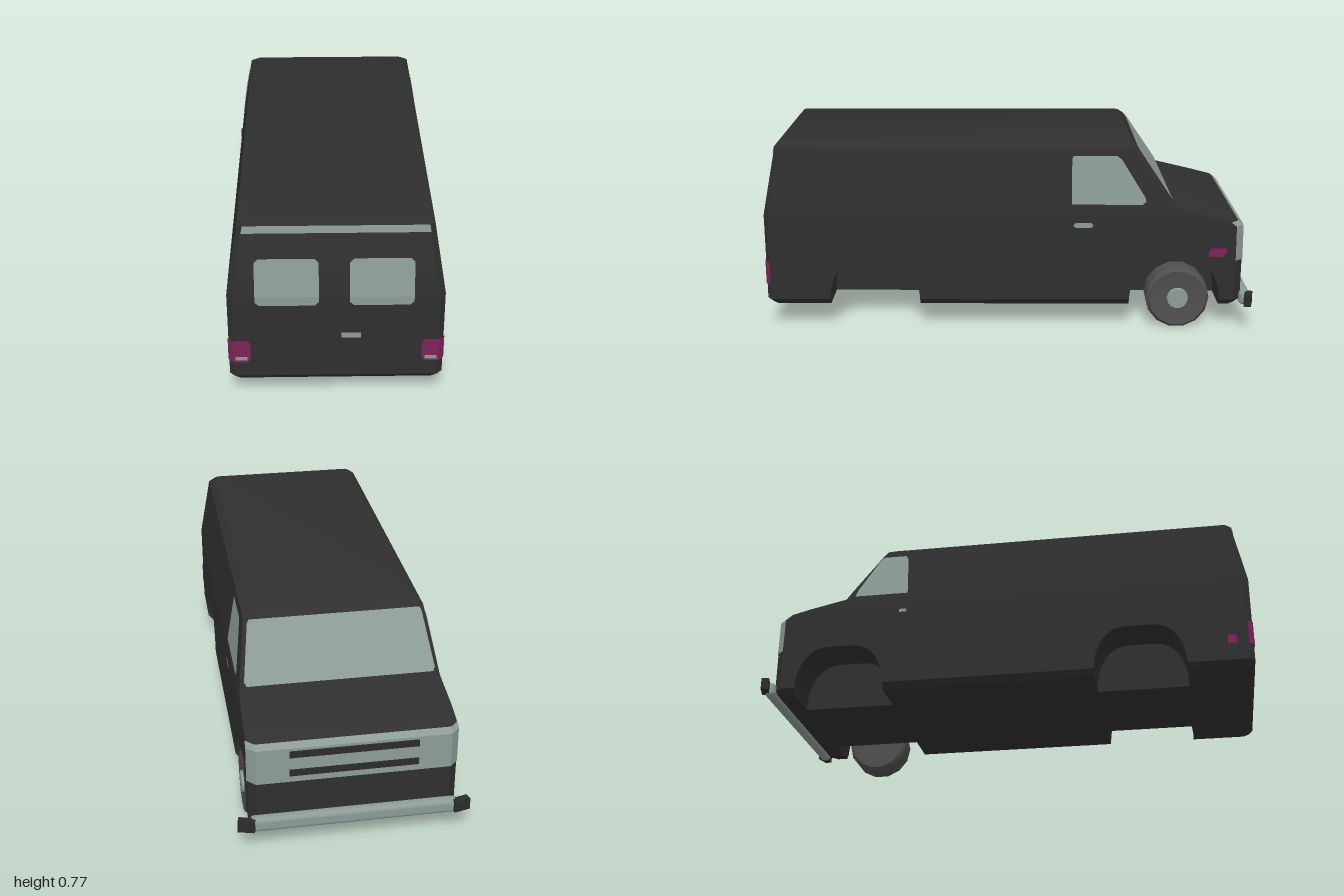
import * as THREE from 'three';
import { mergeGeometries, toCreasedNormals } from 'three/addons/utils/BufferGeometryUtils.js';
import { RoundedBoxGeometry } from 'three/addons/geometries/RoundedBoxGeometry.js';

const material = (name, color, side = THREE.FrontSide) => {
  const m = new THREE.MeshStandardMaterial({ color, side });
  m.name = name;
  return m;
};

function fromTriangles(points, index) {
  const g = new THREE.BufferGeometry();
  g.setAttribute('position', new THREE.Float32BufferAttribute(points.flat(), 3));
  g.setIndex(index);
  return g.toNonIndexed();
}

// Stack of chamfered rectangles: each level is [y, z0, z1, halfWidth, chamfer0, chamfer1]
function loft(levels) {
  const points = [], index = [], n = 8;
  for (const [y, z0, z1, w, c0, c1] of levels) {
    const half = [[w - c1, z1], [w, z1 - c1], [w, z0 + c0], [w - c0, z0]];
    const other = half.map(([x, z]) => [-x, z]).reverse();
    for (const [x, z] of [...half, ...other]) points.push([x, y, z]);
  }
  for (let i = 0; i < levels.length - 1; i++)
    for (let j = 0; j < n; j++) {
      const a = i * n + j, b = i * n + (j + 1) % n;
      index.push(a, b, b + n, a, b + n, a + n);
    }
  const top = (levels.length - 1) * n;
  for (let k = 1; k < n - 1; k++) index.push(0, k + 1, k, top, top + k, top + k + 1);
  return fromTriangles(points, index);
}

// Thin skin through rows of points
function sheet(rows) {
  const n = rows[0].length, index = [];
  for (let i = 0; i < rows.length - 1; i++)
    for (let j = 0; j < n - 1; j++) {
      const a = i * n + j;
      index.push(a, a + 1, a + n + 1, a, a + n + 1, a + n);
    }
  const g = fromTriangles(rows.flat(), index);
  g.computeVertexNormals();
  return g;
}

export function createModel() {
  const group = new THREE.Group();
  const black = material('black paint', 0x2f2f2f);
  const grey = material('pale grey', 0x8c9c96, THREE.DoubleSide);
  const trim = material('dark trim', 0x2b2b2b, THREE.DoubleSide);
  const red = material('magenta lamp', 0x7d2259, THREE.DoubleSide);
  const rubber = material('rubber', 0x4f4f4f);
  const add = (name, geometry, mat) => {
    const m = new THREE.Mesh(geometry, mat);
    m.name = name;
    group.add(m);
    return m;
  };

  // Body: upper shell, lower blocks between the wheel arches, rounded arch corners
  const parts = [loft([
    [0.30, -0.95, 1, 0.40, 0.03, 0.02],
    [0.44, -0.948, 1, 0.40, 0.03, 0.02],
    [0.462, -0.92, 1, 0.40, 0.03, 0.02],
    [0.48, -0.842, 1, 0.40, 0.02, 0.02],
    [0.52, -0.67, 0.993, 0.3935, 0.01, 0.02],
    [0.755, -0.51, 0.95, 0.355, 0.01, 0.02],
    [0.775, -0.485, 0.935, 0.325, 0.01, 0.01],
  ])];
  const block = (z0, z1, b0, b1, c0, c1) => parts.push(loft([
    [0.10, b0, b1, 0.38, c0, c1],
    [0.125, z0, z1, 0.40, c0, c1],
    [0.30, z0, z1, 0.40, c0, c1],
  ]));
  block(0.74, 1, 0.74, 0.98, 0, 0.02);
  block(-0.49, 0.37, -0.49, 0.37, 0, 0);
  block(-0.95, -0.86, -0.93, -0.86, 0.03, 0);
  for (const [z0, z1] of [[0.37, 0.74], [-0.86, -0.49]]) {
    parts.push(loft([[0.10, z0, z1, 0.22, 0, 0], [0.30, z0, z1, 0.22, 0, 0]]));
    for (const [z, d] of [[z0, 1], [z1, -1]])
      for (const x of [0.22, -0.40]) {
        const s = new THREE.Shape();
        s.moveTo(-z, 0.30);
        s.lineTo(-z, 0.13);
        s.bezierCurveTo(-z - d * 0.005, 0.22, -z - d * 0.05, 0.30, -z - d * 0.13, 0.30);
        const g = new THREE.ExtrudeGeometry(s, { depth: 0.18, bevelEnabled: false, curveSegments: 8 });
        g.rotateY(Math.PI / 2).translate(x, 0, 0);
        g.deleteAttribute('uv');
        g.deleteAttribute('normal');
        parts.push(g);
      }
  }
  add('body', toCreasedNormals(mergeGeometries(parts), 0.6), black);

  // Surface position helpers for the painted details
  const e = 0.003;
  const above = y => Math.max(0, y - 0.48) / 0.275;
  const rearZ = y => 1 - 0.05 * above(y) + e;
  const sideX = y => 0.40 - 0.045 * above(y) + e;
  const onRear = (name, mat, rows, lift = 0) => add(name, sheet(rows.map(([y, a, b]) =>
    [[a, y, rearZ(y) + lift], [b, y, rearZ(y) + lift]])), mat);
  const onSide = (name, mat, s, rows) => add(name, sheet(rows.map(([y, a, b]) =>
    [[s * sideX(y), y, a], [s * sideX(y), y, b]])), mat);

  // Rear windows, roof stripe and handle
  for (const [a, b] of [[-0.297, -0.063], [0.05, 0.285]])
    onRear('rearWindow', grey, [[0.445, a + 0.015, b - 0.015], [0.46, a, b], [0.48, a, b],
      [0.615, a, b], [0.63, a + 0.015, b - 0.015]]);
  onRear('rearStripe', grey, [[0.727, -0.34, 0.34], [0.755, -0.335, 0.335]]);
  onRear('rearHandle', grey, [[0.30, 0.02, 0.092], [0.322, 0.02, 0.092]]);

  // Tail lamps wrapping round the corners, with reflectors
  for (const s of [1, -1]) {
    const lamp = (y, inset) => [[s * (0.318 + inset), y, 1 + e], [s * (0.38 + e), y, 1 + e],
      [s * (0.40 + e), y, 0.982]];
    add('tailLamp', sheet([lamp(0.19, 0.012), lamp(0.205, 0), lamp(0.275, 0), lamp(0.288, 0.012)]), red);
    const a = s * 0.33, b = s * 0.375;
    onRear('reflector', grey, [[0.20, a, b], [0.216, a, b]], 0.002);
  }

  // Side windows, door handles and marker lamps
  onSide('sideWindow', grey, 1, [[0.53, -0.25, -0.535], [0.542, -0.25, -0.55],
    [0.56, -0.25, -0.545], [0.71, -0.25, -0.45], [0.725, -0.255, -0.43]]);
  onSide('sideWindow', grey, -1, [[0.53, -0.40, -0.625], [0.56, -0.40, -0.615],
    [0.71, -0.41, -0.53], [0.725, -0.42, -0.515]]);
  onSide('doorHandle', grey, 1, [[0.435, -0.265, -0.33], [0.445, -0.257, -0.338], [0.455, -0.265, -0.33]]);
  onSide('doorHandle', grey, -1, [[0.438, -0.40, -0.43], [0.452, -0.40, -0.43]]);
  onSide('frontMarker', red, 1, [[0.312, -0.81, -0.87], [0.33, -0.81, -0.882], [0.348, -0.82, -0.882]]);
  onSide('rearMarker', red, -1, [[0.195, 0.90, 0.935], [0.23, 0.90, 0.935]]);

  // Windscreen
  const screen = (y, w) => {
    const z = -0.67 + 0.16 * (y - 0.52) / 0.235 - 0.004;
    return [[-w, y + 0.002, z], [w, y + 0.002, z]];
  };
  add('windscreen', sheet([screen(0.54, 0.365), screen(0.555, 0.373), screen(0.74, 0.343), screen(0.752, 0.335)]), grey);

  // Nose panel wrapping the corners, with two grille bars
  const nose = (y, z) => [[-0.40 - e, y, z + 0.03], [-0.37, y, z - e], [0.37, y, z - e], [0.40 + e, y, z + 0.03]];
  add('nosePanel', sheet([nose(0.295, -0.95), nose(0.44, -0.948), nose(0.458, -0.926)]), grey);
  for (const y of [0.415, 0.335])
    add('grilleBar', new THREE.BoxGeometry(0.49, 0.028, 0.006), trim).position.set(0, y, -0.953);

  // Front bumper with dark end caps
  add('bumper', new RoundedBoxGeometry(0.80, 0.06, 0.045, 3, 0.018), grey).position.set(0, 0.13, -0.966);
  for (const s of [1, -1]) {
    const cap = add('bumperCap', new THREE.BoxGeometry(0.065, 0.048, 0.03), trim);
    cap.position.set(s * 0.412, 0.134, -0.977);
    cap.rotation.y = -s * 0.25;
  }

  // Single front wheel
  const tyre = [[0, -0.055], [0.115, -0.055], [0.13, -0.04], [0.13, 0.04], [0.117, 0.055], [0.09, 0.05], [0, 0.05]];
  const wheel = new THREE.LatheGeometry(tyre.map(p => new THREE.Vector2(...p)), 14);
  wheel.rotateZ(-Math.PI / 2);
  add('wheel', toCreasedNormals(wheel, 0.5), rubber).position.set(0.342, 0.13, -0.69);
  const hub = new THREE.CylinderGeometry(0.042, 0.045, 0.012, 14).rotateZ(-Math.PI / 2);
  add('hub', hub, grey).position.set(0.396, 0.13, -0.69);

  return group;
}
